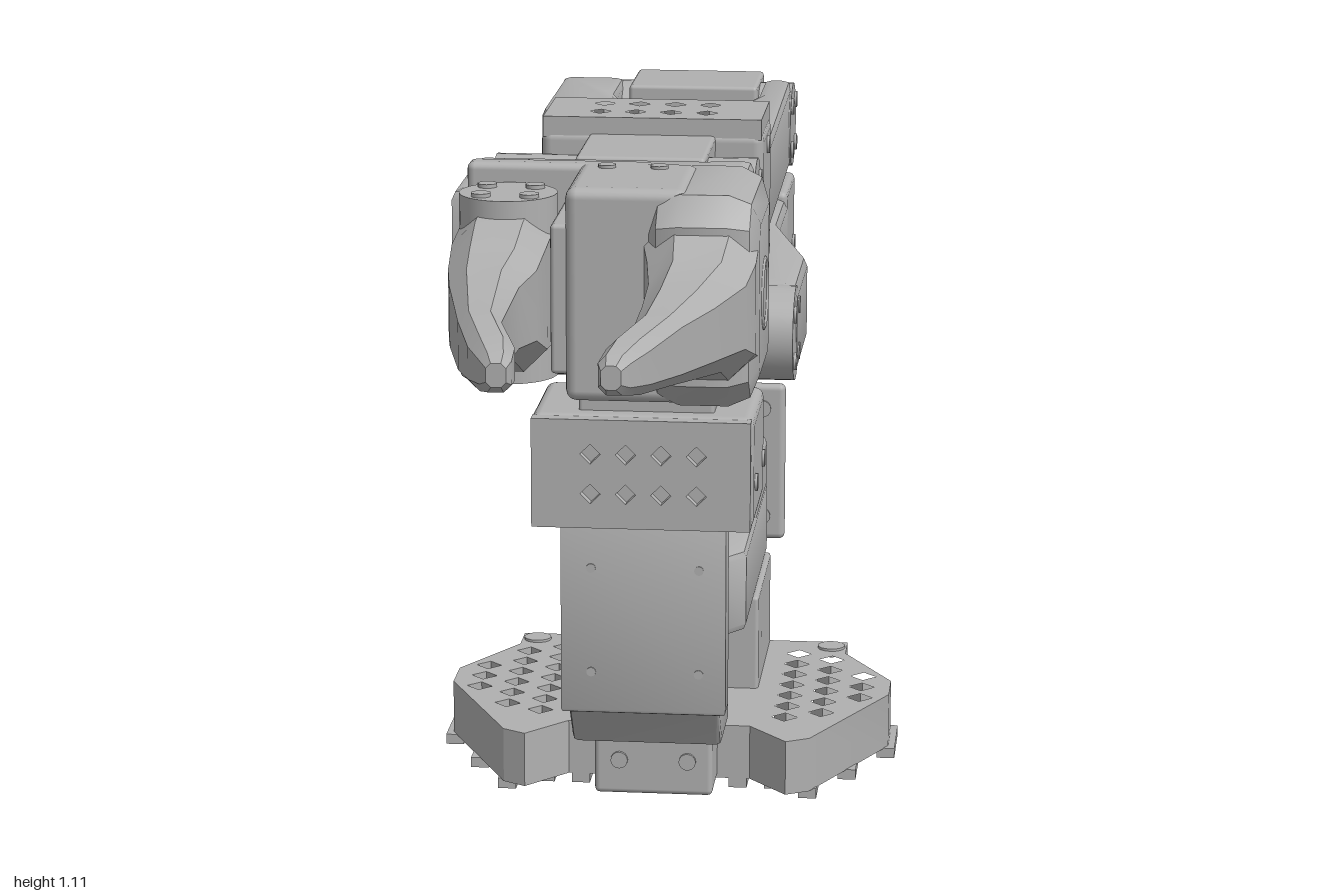
import * as THREE from 'three';
import { toCreasedNormals } from 'three/addons/utils/BufferGeometryUtils.js';
import { RoundedBoxGeometry } from 'three/addons/geometries/RoundedBoxGeometry.js';

export function createModel() {
  const root = new THREE.Group();
  root.name = 'roboticArm';
  const grey = new THREE.MeshStandardMaterial({ color: 0xb0b0b0 });
  grey.name = 'printed grey';

  const add = (name, geo) => {
    const m = new THREE.Mesh(geo, grey);
    m.name = name;
    root.add(m);
    return m;
  };
  // box given by its extents, with softened edges
  const box = (name, x0, x1, y0, y1, z0, z1, r = 0.01) => {
    const g = new RoundedBoxGeometry(x1 - x0, y1 - y0, z1 - z0, 2, r);
    g.translate((x0 + x1) / 2, (y0 + y1) / 2, (z0 + z1) / 2);
    return add(name, g);
  };
  const extrude = (pts, depth, b, holes = []) => {
    const shape = new THREE.Shape(pts.map(p => new THREE.Vector2(p[0], p[1])));
    for (const h of holes) shape.holes.push(new THREE.Path(h.map(p => new THREE.Vector2(p[0], p[1]))));
    const g = new THREE.ExtrudeGeometry(shape, {
      depth: depth - 2 * b, bevelEnabled: b > 0, bevelSize: b, bevelThickness: b, bevelOffset: -b, bevelSegments: 2,
    });
    g.translate(0, 0, b);
    return toCreasedNormals(g, 0.6);
  };
  // outline in (x, z), raised from y0 to y1
  const plan = (name, pts, y0, y1, b = 0, holes = []) => {
    const flip = a => a.map(p => [p[0], -p[1]]);
    return add(name, extrude(flip(pts), y1 - y0, b, holes.map(flip)).rotateX(-Math.PI / 2).translate(0, y0, 0));
  };
  // outline in (z, y), running from x0 to x1
  const side = (name, pts, x0, x1, b = 0) =>
    add(name, extrude(pts, x1 - x0, b).rotateY(-Math.PI / 2).translate(x1, 0, 0));
  // outline in (x, y), running from z0 to z1
  const face = (name, pts, z0, z1, b = 0, holes = []) =>
    add(name, extrude(pts, z1 - z0, b, holes).translate(0, 0, z0));
  const rod = (name, axis, r, a0, a1, u, v, seg = 32) => {
    const g = new THREE.CylinderGeometry(r, r, a1 - a0, seg);
    const c = (a0 + a1) / 2;
    if (axis === 'x') g.rotateZ(Math.PI / 2).translate(c, u, v);
    else if (axis === 'y') g.translate(u, c, v);
    else g.rotateX(Math.PI / 2).translate(u, v, c);
    return add(name, g);
  };
  const diamond = (u, v, r) => [[u - r, v], [u, v - r], [u + r, v], [u, v + r]];
  const rect = (a0, a1, b0, b1) => [[a0, b0], [a1, b0], [a1, b1], [a0, b1]];
  const rows = (us, vs, r) => vs.flatMap(v => us.map(u => diamond(u, v, r)));
  const four = [-0.078, -0.026, 0.026, 0.078];
  // joint disc across x, with four screw heads on its outer face
  const joint = (name, x0, x1, y, z, r) => {
    rod(name, 'x', r, x0, x1, y, z);
    const out = Math.abs(x1) > Math.abs(x0) ? x1 : x0;
    for (const dy of [-0.035, 0.035]) for (const dz of [-0.035, 0.035])
      rod('jointScrew', 'x', 0.013, out - 0.004, out + 0.004, y + dy, z + dz, 16);
  };
  // skin over eight-sided sections [z, x0, x1, y0, y1]
  const loft = (name, secs) => {
    const pos = [], idx = [], n = 8;
    for (const [z, x0, x1, y0, y1] of secs) {
      const c = Math.min(x1 - x0, y1 - y0) * 0.25;
      for (const [x, y] of [[x0 + c, y0], [x1 - c, y0], [x1, y0 + c], [x1, y1 - c],
        [x1 - c, y1], [x0 + c, y1], [x0, y1 - c], [x0, y0 + c]]) pos.push(x, y, z);
    }
    for (let s = 0; s < secs.length - 1; s++) for (let i = 0; i < n; i++) {
      const a = s * n + i, b = s * n + (i + 1) % n;
      idx.push(a, b, b + n, a, b + n, a + n);
    }
    const e = (secs.length - 1) * n;
    for (let i = 1; i < n - 1; i++) idx.push(0, i + 1, i, e, e + i, e + i + 1);
    const g = new THREE.BufferGeometry();
    g.setAttribute('position', new THREE.Float32BufferAttribute(pos, 3));
    g.setIndex(idx);
    return add(name, toCreasedNormals(g, 0.6));
  };

  // Base: two perforated feet on ridges, joined by a front hub
  const foot = [[0.05, -0.75], [0.265, -0.75], [0.265, -0.69], [0.345, -0.55], [0.345, -0.48],
    [0.235, -0.25], [0.2, -0.23], [0.14, -0.3], [0.05, -0.3]];
  const footHoles = [];
  for (let i = 0; i < 3; i++) for (let j = 0; j < 8; j++) {
    const x = 0.19 + i * 0.055, z = -0.68 + j * 0.055 + (i % 2) * 0.027;
    if (x < 0.26 ? z < -0.34 : z > -0.62 && z < -0.42) footHoles.push(diamond(x, z, 0.02));
  }
  for (const s of [1, -1]) {
    const m = a => a.map(p => [p[0] * s, p[1]]);
    plan('foot', m(foot), 0.015, 0.1, 0, footHoles.map(m));
    for (let i = 0; i < 6; i++) {
      const x = 0.0525 + i * 0.055;
      const z0 = x > 0.26 ? -0.69 + (x - 0.26) * 1.6 : -0.75;
      const z1 = x > 0.22 ? -0.25 - (x - 0.22) * 2 : x > 0.17 ? -0.26 : -0.3;
      const g = new THREE.BoxGeometry(0.028, 0.016, z1 - z0);
      add('footRidge', g.translate(s * (x + 0.014), 0.008, (z0 + z1) / 2));
    }
    const t = [0.05 * s, 0.138 * s].sort((a, b) => a - b);
    box('towerLeg', t[0], t[1], 0.02, 0.25, -0.75, -0.56, 0.005);
    rod('hubScrew', 'z', 0.013, -0.215, -0.205, 0.052 * s, 0.07, 16);
    rod('footScrew', 'y', 0.022, 0.09, 0.104, 0.24 * s, -0.72, 16);
  }
  box('baseHub', -0.09, 0.09, 0.015, 0.115, -0.45, -0.21, 0.008);
  box('baseBridge', -0.138, 0.138, 0.08, 0.25, -0.57, -0.49, 0.006);

  // Turntable motor housing and rear cover plate
  plan('motorHousing', [[-0.13, -0.77], [0.13, -0.77], [0.13, -0.34], [0.09, -0.285], [-0.09, -0.285], [-0.13, -0.34]], 0.24, 0.37, 0.012);
  box('housingTop', -0.13, 0.13, 0.35, 0.445, -0.77, -0.54, 0.015);
  box('housingRiser', -0.1, 0.1, 0.36, 0.455, -0.56, -0.47, 0.015);
  box('plateSpacer', -0.1, 0.1, 0.29, 0.42, -0.8, -0.76, 0.005);
  box('rearPlate', -0.157, 0.157, 0.26, 0.52, -0.81, -0.788, 0.01);
  for (const x of [-0.12, 0.12]) for (const y of [0.3, 0.48]) rod('plateScrew', 'z', 0.014, -0.814, -0.784, x, y, 16);
  rod('turnShaft', 'y', 0.06, 0.18, 0.42, 0, -0.38);

  // C-shaped swivel bracket
  plan('swivelColumn', [[-0.125, -0.08], [0.12, -0.08], [0.12, -0.13], [0.095, -0.23], [-0.1, -0.23], [-0.125, -0.13]], 0.185, 0.48, 0.006);
  side('swivelChamfer', [[-0.082, 0.2], [-0.14, 0.122], [-0.26, 0.122], [-0.26, 0.2]], -0.115, 0.11, 0.008);
  const tongue = [[-0.1, -0.16], [0.1, -0.16], [0.1, -0.28], [0.065, -0.42], [0.03, -0.445], [-0.03, -0.445], [-0.065, -0.42], [-0.1, -0.28]];
  plan('swivelLowerTongue', tongue, 0.125, 0.185, 0.01);
  plan('swivelUpperTongue', tongue, 0.415, 0.482, 0.015);
  for (const x of [-0.08, 0.08]) for (const y of [0.25, 0.41]) rod('columnScrew', 'z', 0.007, -0.09, -0.078, x, y, 12);

  // Shoulder bracket with perforated face, and its motor
  box('shoulderBracket', -0.168, 0.16, 0.475, 0.645, -0.28, -0.07, 0.015);
  face('shoulderFace', rect(-0.165, 0.157, 0.478, 0.642), -0.08, -0.055, 0, rows(four, [0.53, 0.59], 0.015));
  box('shoulderMotor', -0.1, 0.1, 0.6, 0.81, -0.26, -0.1, 0.006);
  for (const z of [-0.11, -0.25]) rod('bracketScrew', 'x', 0.013, 0.155, 0.164, 0.54, z, 16);

  // Lower arm: forked front, solid middle, tray at the rear
  plan('lowerArm', [[0.215, -0.18], [0.215, -0.4], [0.155, -0.64], [0.155, -0.84], [-0.155, -0.84], [-0.155, -0.64],
    [-0.215, -0.4], [-0.215, -0.18], [-0.1, -0.18], [-0.1, -0.34], [-0.05, -0.4], [0.05, -0.4], [0.1, -0.34], [0.1, -0.18]], 0.68, 0.82, 0.018);
  for (const s of [1, -1]) {
    const a = [0.09 * s, 0.213 * s].sort((p, q) => p - q);
    joint('shoulderJoint', a[0], a[1], 0.75, -0.18, 0.07);
    const w = [0.11 * s, 0.155 * s].sort((p, q) => p - q);
    box('trayWall', w[0], w[1], 0.68, 0.83, -1, -0.82, 0.01);
    box('trayBack', ...[0.04 * s, 0.15 * s].sort((p, q) => p - q), 0.685, 0.82, -1, -0.975, 0.006);
    for (const z of [-0.96, -0.83]) rod('trayScrew', 'x', 0.013, 0.154 * s - 0.005, 0.154 * s + 0.005, 0.72, z, 16);
  }
  plan('trayFloor', rect(-0.15, 0.15, -0.99, -0.82), 0.68, 0.705, 0, rows([-0.1, -0.06, -0.02, 0.02, 0.06, 0.1], [-0.95, -0.91, -0.87], 0.014));
  box('elbowMotor', -0.1, 0.105, 0.705, 1.0, -0.975, -0.82, 0.006);
  rod('lowerArmPeg', 'y', 0.03, 0.81, 0.85, 0.1, -0.42, 20);

  // Upper arm: forked rear reaching the elbow, narrowing to the wrist bracket
  plan('upperArm', [[-0.215, -0.9], [-0.215, -0.62], [-0.165, -0.42], [-0.16, -0.3], [-0.055, -0.3], [-0.05, -0.38], [0, -0.42],
    [0.05, -0.38], [0.055, -0.3], [0.16, -0.3], [0.155, -0.9], [0.11, -0.9], [0.11, -0.76], [0.07, -0.61],
    [0.035, -0.575], [-0.035, -0.575], [-0.07, -0.61], [-0.115, -0.76], [-0.115, -0.9]], 0.857, 1.0, 0.014);
  joint('elbowJoint', -0.213, -0.09, 0.927, -0.9, 0.067);
  joint('elbowJoint', 0.09, 0.158, 0.927, -0.9, 0.067);
  box('upperArmWeb', -0.1, 0.1, 0.865, 0.9, -0.45, -0.28, 0.005);
  box('wristBracket', -0.16, 0.165, 0.83, 1.05, -0.315, -0.155, 0.015);
  plan('wristBracketTop', rect(-0.157, 0.162, -0.313, -0.157), 1.04, 1.07, 0, rows(four, [-0.27, -0.205], 0.016));
  for (const y of [0.88, 1.02]) rod('bracketScrew', 'x', 0.013, 0.16, 0.169, y, -0.235, 16);

  // Wrist pitch joint
  box('wristMotor', -0.09, 0.095, 0.865, 1.045, -0.17, 0.015, 0.006);
  const fork = [[-0.05, 0.905], [0.04, 0.915], [0.12, 0.885], [0.14, 0.885], [0.14, 1.045], [0.12, 1.045], [0.04, 1.01], [-0.05, 1.025]];
  side('wristFork', fork, -0.18, -0.11, 0.01);
  side('wristFork', fork, 0.11, 0.165, 0.01);
  joint('wristJoint', -0.21, -0.085, 0.965, -0.045, 0.07);
  joint('wristJoint', 0.085, 0.165, 0.965, -0.045, 0.07);
  plan('wristBody', [[-0.22, 0.1], [-0.22, 0.34], [-0.02, 0.34], [0.06, 0.325], [0.12, 0.28], [0.16, 0.21], [0.17, 0.14], [0.17, 0.09], [0.1, 0.1]], 0.872, 1.06, 0.015);
  for (const z of [0.16, 0.24])
    plan('wristVent', [[-0.175, z - 0.03], [-0.145, z - 0.03], [-0.085, z + 0.03], [-0.085, z + 0.05], [-0.115, z + 0.05], [-0.175, z - 0.01]], 1.058, 1.063);
  rod('rollShaft', 'z', 0.06, 0.33, 0.39, 0, 0.965);

  // Gripper body
  box('gripperBackPlate', -0.19, 0.06, 0.86, 1.11, 0.37, 0.405, 0.01);
  box('gripperMotor', -0.06, 0.05, 0.86, 1.06, 0.38, 0.56, 0.006);
  box('gripperBody', -0.04, 0.12, 0.825, 1.11, 0.38, 0.57, 0.015);
  side('gripperCheek', [[0.37, 0.825], [0.57, 0.825], [0.61, 0.86], [0.61, 1.07], [0.57, 1.105], [0.37, 1.105]], 0.07, 0.215, 0.04);
  add('cheekRing', new THREE.TorusGeometry(0.045, 0.005, 8, 32).rotateY(Math.PI / 2).translate(0.213, 0.96, 0.49));
  for (const x of [0, 0.07]) rod('gripperScrew', 'y', 0.012, 1.105, 1.114, x, 0.42, 16);

  // Fixed and hinged fingers
  loft('fixedFinger', [[0.55, 0.06, 0.213, 0.85, 1.08], [0.61, 0.072, 0.213, 0.87, 1.06], [0.65, 0.078, 0.203, 0.89, 1.035],
    [0.75, 0.08, 0.172, 0.905, 1.02], [0.85, 0.08, 0.14, 0.92, 1.01], [0.94, 0.055, 0.11, 0.93, 1.0], [0.985, 0.05, 0.09, 0.94, 0.99], [1, 0.055, 0.08, 0.95, 0.98]]);
  loft('hingedFinger', [[0.45, -0.19, -0.065, 0.85, 1.07], [0.55, -0.19, -0.065, 0.86, 1.06], [0.62, -0.185, -0.07, 0.89, 1.04],
    [0.68, -0.175, -0.085, 0.9, 1.025], [0.85, -0.14, -0.085, 0.92, 1.01], [0.94, -0.115, -0.057, 0.93, 1.0], [0.985, -0.095, -0.055, 0.94, 0.99], [1, -0.085, -0.06, 0.95, 0.98]]);
  rod('fingerHinge', 'y', 0.065, 0.84, 1.085, -0.125, 0.475);
  for (const dx of [-0.032, 0.032]) for (const dz of [-0.032, 0.032])
    rod('hingeScrew', 'y', 0.013, 1.08, 1.09, -0.125 + dx, 0.475 + dz, 16);
  return root;
}
